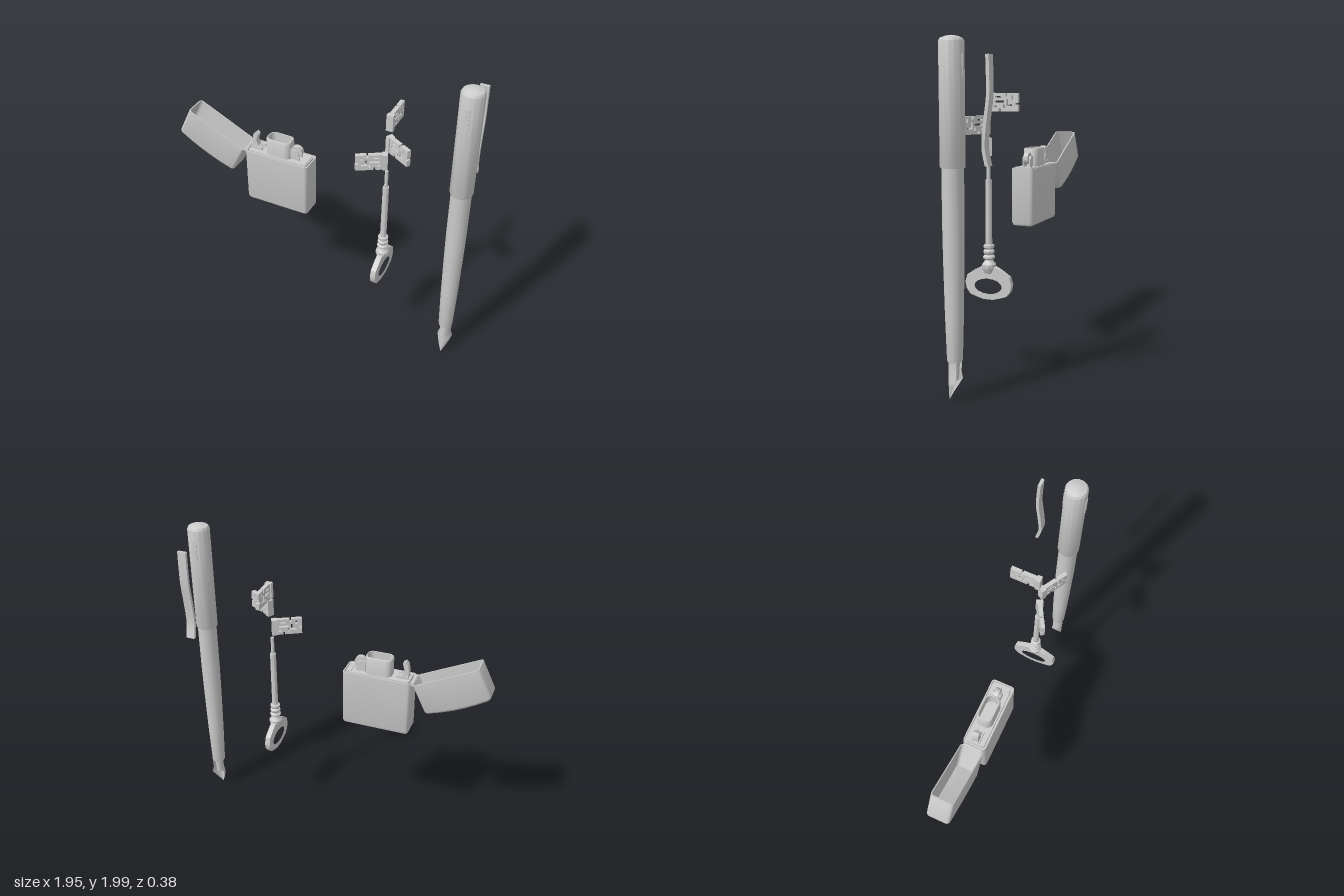
import * as THREE from 'three';
import { toCreasedNormals } from 'three/addons/utils/BufferGeometryUtils.js';

const mat = new THREE.MeshStandardMaterial({ color: 0xcccccc });
const thin = new THREE.MeshStandardMaterial({ color: 0xcccccc, side: THREE.DoubleSide });

function add(parent, name, geo, x = 0, y = 0, z = 0, material = mat) {
  const m = new THREE.Mesh(geo, material);
  m.name = name;
  m.position.set(x, y, z);
  parent.add(m);
  return m;
}

function group(parent, name, x = 0, y = 0, z = 0) {
  const g = new THREE.Group();
  g.name = name;
  g.position.set(x, y, z);
  parent.add(g);
  return g;
}

const crease = (geo, angle = 0.6) => toCreasedNormals(geo, angle);
const vec = ([x, y]) => new THREE.Vector2(x, y);
const lathe = (pts, sides) => crease(new THREE.LatheGeometry(pts.map(vec), sides));

// Flat outline given depth, centred on its local z
function slab(pts, depth, holes = []) {
  const shape = new THREE.Shape(pts.map(vec));
  shape.holes = holes;
  return new THREE.ExtrudeGeometry(shape, { depth, bevelEnabled: false, curveSegments: 8 })
    .translate(0, 0, -depth / 2);
}

// Skin through rounded rectangles [width, depth, corner radius, y, bulge along x]
function loft(rings, fullWidth = 1, n = 5) {
  const pos = [], idx = [], edge = 4;
  rings.forEach(([w, d, r, y, bulge = 0]) => {
    for (let c = 0; c < 4; c++) {
      const sx = c === 0 || c === 3 ? 1 : -1, sz = c < 2 ? -1 : 1;
      const corner = [];
      for (let k = 0; k < n; k++) {
        const a = (c + k / (n - 1)) * Math.PI / 2;
        corner.push([sx * (w / 2 - r) + r * Math.cos(a), sz * (d / 2 - r) - r * Math.sin(a)]);
      }
      // extra points along the long sides let the top curve
      if (c % 2 === 0) {
        const [x0, z0] = corner[n - 1];
        for (let k = 1; k <= edge; k++) corner.push([x0 * (1 - 2 * k / (edge + 1)), z0]);
      }
      corner.forEach(([x, z]) => pos.push(x, y + bulge * (1 - (2 * x / fullWidth) ** 2), z));
    }
  });
  const count = 4 * n + 2 * edge;
  for (let i = 0; i < rings.length - 1; i++) {
    for (let j = 0; j < count; j++) {
      const a = i * count + j, b = i * count + (j + 1) % count;
      idx.push(a, b, b + count, a, b + count, a + count);
    }
  }
  const geo = new THREE.BufferGeometry();
  geo.setAttribute('position', new THREE.Float32BufferAttribute(pos, 3));
  geo.setIndex(idx);
  return crease(geo);
}

function buildLighter(root) {
  const g = group(root, 'lighter', 0, 0, 0.037);
  const W = 0.435, D = 0.147;

  // Case, open at the top with a thin rim
  add(g, 'case', loft([
    [0, 0, 0, 0.827], [W - 0.04, D - 0.04, 0.012, 0.827], [W - 0.012, D - 0.012, 0.018, 0.834],
    [W, D, 0.02, 0.85], [W, D, 0.02, 1.2], [W - 0.014, D - 0.014, 0.016, 1.2],
    [W - 0.014, D - 0.014, 0.016, 1.18], [0, 0, 0, 1.18],
  ]), -0.27);
  add(g, 'insertPlate', loft([
    [W - 0.03, D - 0.03, 0.014, 1.17], [W - 0.03, D - 0.03, 0.014, 1.203], [0, 0, 0, 1.203],
  ]), -0.27);

  // Hollow lid, domed on top, swung open about the hinge
  const lid = group(g, 'lid', -0.498, 1.193, 0);
  lid.rotation.z = THREE.MathUtils.degToRad(154);
  const iw = W - 0.014, id = D - 0.014;
  add(lid, 'lidShell', loft([
    [0, 0, 0, 0.197, 0.02], [iw, id, 0.016, 0.197, 0.02], [iw, id, 0.016, 0], [W, D, 0.02, 0],
    [W, D, 0.02, 0.19, 0.016], [W - 0.01, D - 0.01, 0.018, 0.2, 0.018],
    [W - 0.03, D - 0.03, 0.012, 0.206, 0.02], [0, 0, 0, 0.206, 0.02],
  ], W), W / 2);
  add(g, 'hinge', new THREE.CylinderGeometry(0.01, 0.01, 0.12, 8).rotateX(Math.PI / 2), -0.495, 1.193);

  // Chimney with a thin wall
  add(g, 'chimney', loft([
    [0.17, 0.1, 0.035, 1.2], [0.17, 0.1, 0.035, 1.31], [0.162, 0.092, 0.032, 1.318],
    [0.15, 0.08, 0.028, 1.318], [0.15, 0.08, 0.028, 1.22], [0, 0, 0, 1.22],
  ]), -0.27);

  // Spark wheel between two cheeks
  add(g, 'sparkWheel', crease(new THREE.CylinderGeometry(0.038, 0.038, 0.03, 14).rotateX(Math.PI / 2)), -0.15, 1.258);
  add(g, 'wheelAxle', new THREE.CylinderGeometry(0.015, 0.015, 0.058, 10).rotateX(Math.PI / 2), -0.15, 1.255);
  const cheek = [[-0.185, 1.2], [-0.125, 1.2], [-0.13, 1.255], [-0.15, 1.272], [-0.185, 1.272]];
  // Cam lever and its two supports
  add(g, 'camLever', crease(slab([[-0.455, 1.2], [-0.462, 1.25], [-0.453, 1.3], [-0.437, 1.318],
    [-0.42, 1.305], [-0.432, 1.26], [-0.42, 1.225], [-0.385, 1.2]], 0.036)));
  for (const s of [-1, 1]) {
    add(g, 'wheelCheek', slab(cheek, 0.008), 0, 0, s * 0.022);
    add(g, 'leverSupport', new THREE.BoxGeometry(0.075, 0.022, 0.008), -0.425, 1.21, s * 0.024);
  }
  add(g, 'flintTab', new THREE.BoxGeometry(0.028, 0.01, 0.105), -0.088, 1.203);
}

function rectHole(x, y, w, h) {
  return new THREE.Path([[x, y], [x, y + h], [x + w, y + h], [x + w, y]].map(vec));
}

function buildKey(root) {
  const g = group(root, 'key', 0.448, 0, 0.042);

  // Stem with stacked collars and a thin pin
  add(g, 'stem', lathe([[0, 0.625], [0.026, 0.63], [0.042, 0.66], [0.042, 0.685], [0.026, 0.705],
    [0.024, 0.712], [0.036, 0.722], [0.036, 0.732], [0.025, 0.742], [0.034, 0.755], [0.034, 0.765],
    [0.024, 0.775], [0.032, 0.785], [0.032, 0.8], [0.02, 0.805], [0.019, 1.187], [0.011, 1.187],
    [0.011, 1.303], [0, 1.303]], 10));

  // Bow: a wide ring lying in the side plane
  const half = [[0.04, 0.672], [0.08, 0.652], [0.135, 0.615], [0.148, 0.57], [0.14, 0.53],
    [0.115, 0.498], [0.065, 0.482], [0.03, 0.473]];
  const outline = [...half, ...half.map(([x, y]) => [-x, y]).reverse()];
  const hole = new THREE.Path().absellipse(0, 0.553, 0.088, 0.046, 0, Math.PI * 2, true);
  add(g, 'bow', crease(slab(outline, 0.034, [hole])).rotateY(Math.PI / 2));

  // Three pierced bits fanned around the axis at rising heights
  const bit = [[0, 0], [0.07, 0], [0.07, 0.018], [0.082, 0.018], [0.082, 0], [0.19, 0], [0.19, 0.04],
    [0.172, 0.04], [0.172, 0.05], [0.19, 0.05], [0.19, 0.105], [0.125, 0.105], [0.125, 0.086],
    [0.113, 0.086], [0.113, 0.105], [0, 0.105]];
  const holes = () => [[0.045, 0.05, 0.06, 0.011], [0.12, 0.03, 0.011, 0.04], [0.131, 0.03, 0.024, 0.01],
    [0.05, 0.078, 0.035, 0.009], [0.042, 0.024, 0.016, 0.01], [0.15, 0.068, 0.01, 0.022],
    [0.1, 0.02, 0.01, 0.02]].map((h) => rectHole(...h));
  [[1.325, -150], [1.455, -30], [1.585, 90]].forEach(([y, deg]) => {
    const arm = group(g, 'keyBit', 0, y, 0);
    arm.rotation.y = THREE.MathUtils.degToRad(deg);
    add(arm, 'bitPlate', slab(bit, 0.026, holes()));
    add(arm, 'bitPost', new THREE.BoxGeometry(0.03, 0.105, 0.042), 0.015, 0.0525);
  });
}

function buildPen(root) {
  const g = group(root, 'pen', 0.91, 0, 0.042);
  add(g, 'cap', lathe([[0, 1.303], [0.066, 1.303], [0.069, 1.31], [0.069, 1.97], [0.06, 1.985],
    [0.03, 1.996], [0, 2]], 14));
  add(g, 'barrel', lathe([[0, 0.232], [0.041, 0.232], [0.044, 0.245], [0.052, 0.5], [0.058, 0.8],
    [0.0605, 1.0], [0.0605, 1.31]], 14));
  add(g, 'clipSlot', new THREE.BoxGeometry(0.026, 0.12, 0.141), 0, 1.843);

  // Nib: a curved sheet that flares, then narrows to a point
  const rows = [[0.24, 0.038, 0.062], [0.17, 0.034, 0.06], [0.125, 0.047, 0.062], [0.095, 0.038, 0.045],
    [0.055, 0.022, 0.022], [0.008, 0, 0]];
  const nib = new THREE.PlaneGeometry(2, 1, 10, rows.length - 1);
  const p = nib.attributes.position;
  for (let i = 0; i < p.count; i++) {
    const [y, w, d] = rows[Math.floor(i / 11)];
    const a = p.getX(i) * Math.PI / 2;
    p.setXYZ(i, w * Math.sin(a), y, 0.037 - d * (1 - Math.cos(a)));
  }
  nib.computeVertexNormals();
  add(g, 'nib', nib, 0, 0, 0, thin);
  add(g, 'feed', new THREE.CylinderGeometry(0.028, 0.02, 0.11, 10), 0, 0.185, -0.001);

  // Clip: a wavy strip standing off behind the cap
  const mid = new THREE.SplineCurve([[-0.174, 1.9], [-0.177, 1.78], [-0.176, 1.68], [-0.16, 1.56],
    [-0.149, 1.45], [-0.152, 1.39], [-0.168, 1.32]].map(vec)).getPoints(18);
  const side = (s) => mid.map((q) => [-q.x + s * 0.0095, q.y]);
  const clip = slab([...side(-1), ...side(1).reverse()], 0.055).rotateY(Math.PI / 2);
  add(g, 'clip', crease(clip), 0, 0, -0.042);
}

export function createModel() {
  const root = new THREE.Group();
  root.name = 'pocketItems';
  buildLighter(root);
  buildKey(root);
  buildPen(root);
  return root;
}
